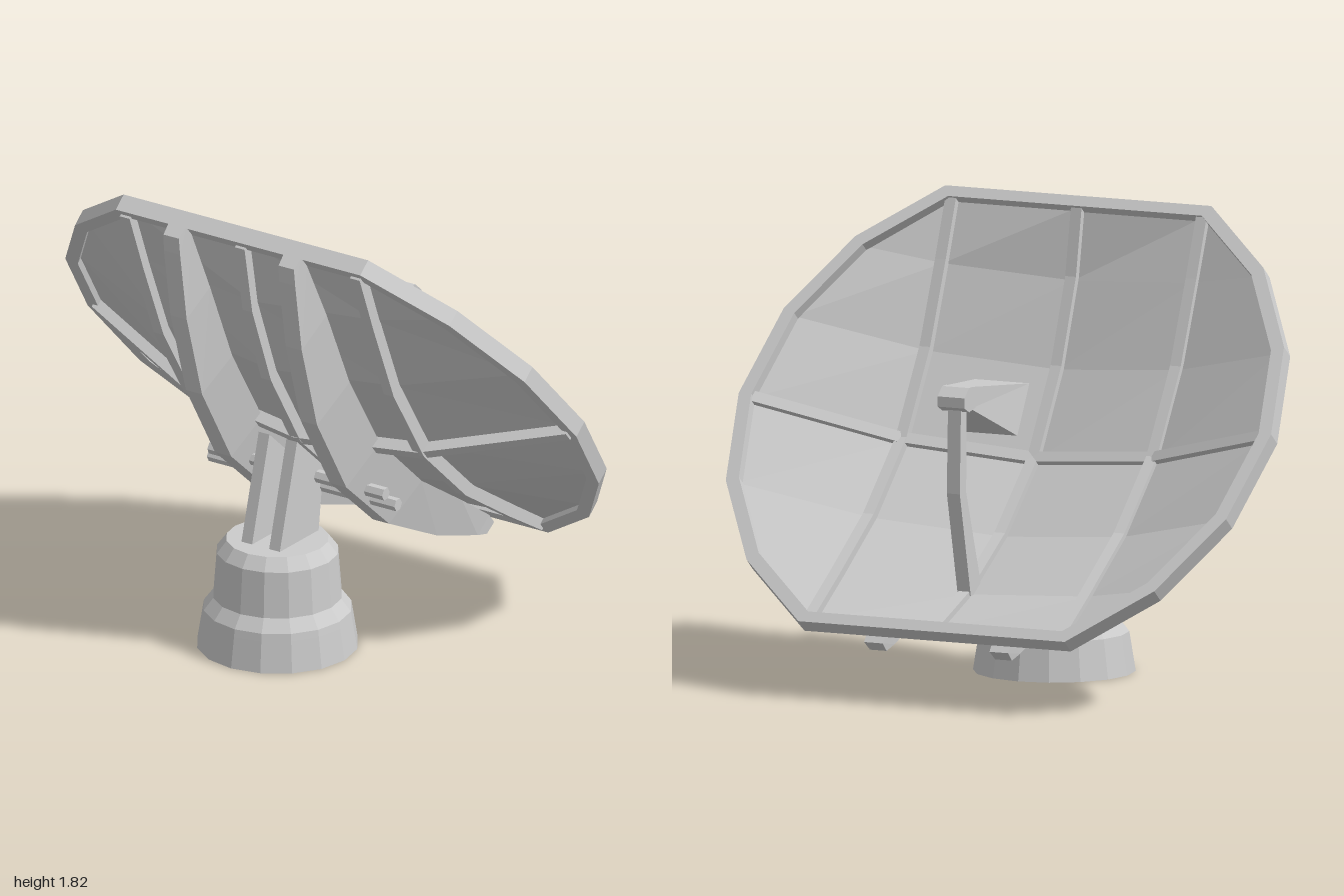
import * as THREE from 'three';

const mat = new THREE.MeshStandardMaterial({ color: 0xcccccc, flatShading: true });
const matOpen = new THREE.MeshStandardMaterial({ color: 0xcccccc, flatShading: true, side: THREE.DoubleSide });

function add(parent, name, geometry, material = mat) {
  const mesh = new THREE.Mesh(geometry, material);
  mesh.name = name;
  parent.add(mesh);
  return mesh;
}

// Solid skinned over a row of four-cornered cross-sections, wound outwards
function loft(sections) {
  const tris = [];
  const quad = (a, b, c, d) => tris.push([a, b, c], [a, c, d]);
  for (let i = 0; i < sections.length - 1; i++) {
    for (let j = 0; j < 4; j++) {
      const k = (j + 1) % 4;
      quad(sections[i][j], sections[i][k], sections[i + 1][k], sections[i + 1][j]);
    }
  }
  quad(...[...sections[0]].reverse());
  quad(...sections[sections.length - 1]);
  const vec = (p) => new THREE.Vector3(...p);
  let volume = 0;
  for (const [a, b, c] of tris) volume += vec(a).dot(vec(b).cross(vec(c)));
  const points = tris.flatMap((t) => (volume < 0 ? [t[0], t[2], t[1]] : t));
  const g = new THREE.BufferGeometry();
  g.setAttribute('position', new THREE.Float32BufferAttribute(points.flat(), 3));
  g.computeVertexNormals();
  return g;
}

// Dish outline: an 18-sided disc with its top and bottom cut straight
const R = 1.147;
const outline = [];
for (let i = 0; i < 18; i++) {
  const deg = i * 20;
  if ([80, 100, 260, 280].includes(deg)) continue;
  const a = THREE.MathUtils.degToRad(deg);
  outline.push(new THREE.Vector2(R * Math.cos(a), R * Math.sin(a)));
}

// Bowl panels: rows run between opposite rim corners, columns follow the ribs
const RIB = 0.54;
const rowDepth = [0.31, 0.255, 0.14, 0];
const rows = [-3, -2, -1, 0, 1, 2, 3].map((i) => {
  const a = THREE.MathUtils.degToRad(i * 20);
  const edge = 0.97 * R * Math.cos(a);
  return {
    y: 0.97 * R * Math.sin(a),
    nodes: [-edge, -RIB, 0, RIB, edge].map((x) => ({ x, d: rowDepth[Math.abs(i)] * (1 - (x / edge) ** 2) })),
  };
});

// Bowl depth along one row
function depthAt({ nodes }, x) {
  const k = Math.max(1, nodes.findIndex((n) => n.x >= x));
  const a = nodes[k - 1], b = nodes[k];
  return THREE.MathUtils.mapLinear(x, a.x, b.x, a.d, b.d);
}

function bowlGeometry() {
  const pos = rows.flatMap(({ y, nodes }) => nodes.flatMap(({ x, d }) => [x, y, -d]));
  const index = [];
  for (let i = 0; i < rows.length - 1; i++) {
    for (let j = 0; j < 4; j++) {
      const a = i * 5 + j, b = a + 5;
      index.push(a, a + 1, b + 1, a, b + 1, b);
    }
  }
  const g = new THREE.BufferGeometry();
  g.setAttribute('position', new THREE.Float32BufferAttribute(pos, 3));
  g.setIndex(index);
  g.computeVertexNormals();
  return g;
}

function buildDish() {
  const dish = new THREE.Group();
  dish.name = 'dish';
  add(dish, 'bowl', bowlGeometry(), matOpen);

  // Rim frame
  const shape = new THREE.Shape(outline);
  shape.holes.push(new THREE.Path(outline.map((p) => p.clone().multiplyScalar(0.953)).reverse()));
  const rim = new THREE.ExtrudeGeometry(shape, { depth: 0.07, bevelEnabled: false });
  add(dish, 'rim', rim.translate(0, 0, -0.035));

  // Narrow ribs showing on both faces of the bowl
  const w = 0.023, front = 0.03, back = 0.045;
  for (const x of [-RIB, 0, RIB]) {
    add(dish, 'uprightRib', loft(rows.map((row) => {
      const y = row.y, z = -depthAt(row, x);
      return [[x - w, y, z + front], [x + w, y, z + front], [x + w, y, z - back], [x - w, y, z - back]];
    })));
  }
  add(dish, 'crossRib', loft(rows[3].nodes.map(({ x, d }) =>
    [[x, -w, front - d], [x, w, front - d], [x, w, -back - d], [x, -w, -back - d]])));

  // Tapered support beams behind the bowl: back depth and half width per row
  const beam = [[0.49, 0.08], [0.43, 0.08], [0.285, 0.065], [0.135, 0.042]];
  for (const x of [-0.27, 0.27]) {
    const sections = rows.map((row, i) => {
      const [b, u] = beam[Math.abs(i - 3)], y = row.y;
      const f = (px) => -Math.max(0.04, depthAt(row, px) + 0.01);
      return [[x - u, y, f(x - u)], [x + u, y, f(x + u)], [x + 0.038, y, -b], [x - 0.038, y, -b]];
    });
    const tip = (y) => [[x - 0.04, y, -0.04], [x + 0.04, y, -0.04], [x + 0.036, y, -0.095], [x - 0.036, y, -0.095]];
    add(dish, 'supportBeam', loft([tip(-1.02), ...sections, tip(1.02)]));
  }
  return dish;
}

export function createModel() {
  const model = new THREE.Group();
  model.name = 'dishAntenna';
  const head = new THREE.Group();
  head.name = 'turnedAssembly';
  head.rotation.y = THREE.MathUtils.degToRad(129.9);
  model.add(head);

  const dish = buildDish();
  dish.position.y = 1.0375;
  dish.rotation.x = THREE.MathUtils.degToRad(-40);
  head.add(dish);

  // Stepped pedestal, open underneath
  const profile = [[0.315, 0], [0.295, 0.125], [0.29, 0.155], [0.252, 0.205], [0.238, 0.39], [0.2, 0.44], [0, 0.44]];
  const base = new THREE.LatheGeometry(profile.map(([r, y]) => new THREE.Vector2(r, y)), 16);
  add(head, 'pedestal', base, matOpen).position.set(0.01, 0, -0.383);

  // Pair of neck plates carrying the dish
  const side = [[-0.5, 0.43], [-0.38, 0.86], [-0.2, 0.7], [-0.235, 0.43]];
  for (const x of [-0.055, 0.075]) {
    add(head, 'neckPlate', loft([x - 0.025, x + 0.025].map((px) => side.map(([z, y]) => [px, y, z]))));
  }

  // Hexagonal pivot rods through the beams
  for (const [y, z, length] of [[0.67, -0.24, 0.82], [0.618, -0.2, 0.88]]) {
    const rod = new THREE.CylinderGeometry(0.026, 0.026, length, 6).rotateZ(Math.PI / 2);
    add(head, 'pivotRod', rod).position.set(0.01, y, z);
  }

  // Bent feed arm: height, inner z, outer z, half width
  const arm = [[0.4, 0.28, 0.38, 0.028], [0.81, 0.42, 0.475, 0.028], [1.15, 0.415, 0.465, 0.028]];
  add(head, 'feedArm', loft(arm.map(([y, a, b, u]) => [[-u, y, a], [u, y, a], [u, y, b], [-u, y, b]])));

  // Feed horn flaring towards the bowl, with its chamfered end block: top y, top z, bottom y, bottom z, half width
  const section = ([ty, tz, by, bz, u]) => [[-u, ty, tz], [u, ty, tz], [u, by, bz], [-u, by, bz]];
  add(head, 'feedHorn', loft([[1.19, 0.05, 1.0, 0.155, 0.117], [1.225, 0.43, 1.14, 0.43, 0.052]].map(section)));
  add(head, 'feedBlock', loft([[1.225, 0.42, 1.14, 0.4, 0.058], [1.225, 0.455, 1.13, 0.455, 0.058],
    [1.19, 0.495, 1.15, 0.495, 0.058]].map(section)));

  return model;
}
